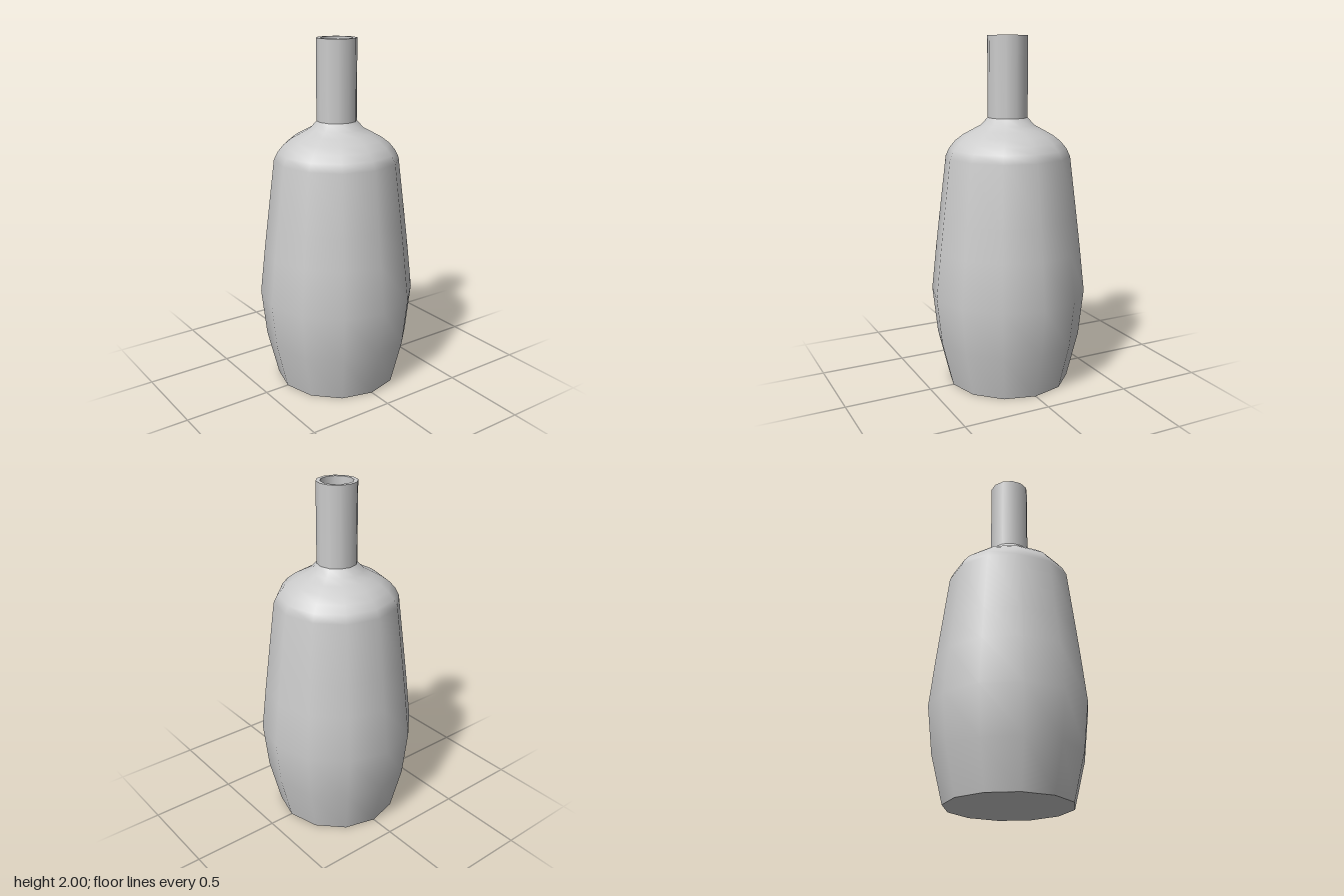
import * as THREE from 'three';

const SIDES = 12;
const NECK = 0.113, BORE = 0.09, BORE_FLOOR = 1.53;

// Each turned section is its own lathe, so the edges between sections stay crisp.
function turned(name, profile, material) {
  const points = profile.map(([r, y]) => new THREE.Vector2(r, y));
  const mesh = new THREE.Mesh(new THREE.LatheGeometry(points, SIDES), material);
  mesh.name = name;
  return mesh;
}

export function createModel() {
  const group = new THREE.Group();
  group.name = 'bottle';
  const material = new THREE.MeshStandardMaterial({ color: 0xcccccc });

  const sections = {
    // flat underside
    base: [[0, 0], [0.355, 0]],
    // bulging belly, rounded shoulder and flare into the neck
    body: [
      [0.355, 0], [0.42, 0.265], [0.449, 0.535], [0.42, 0.8], [0.397, 0.99], [0.355, 1.33],
      [0.333, 1.375], [0.3, 1.415], [0.255, 1.45], [0.2, 1.48], [0.15, 1.507], [NECK, 1.548],
    ],
    neck: [[NECK, 1.548], [NECK, 2]],
    rim: [[NECK, 2], [BORE, 2]],
    // hollow inside of the neck
    bore: [[BORE, 2], [BORE, BORE_FLOOR]],
    boreFloor: [[BORE, BORE_FLOOR], [0, BORE_FLOOR]],
  };
  for (const [name, profile] of Object.entries(sections)) {
    group.add(turned(name, profile, material));
  }
  return group;
}
